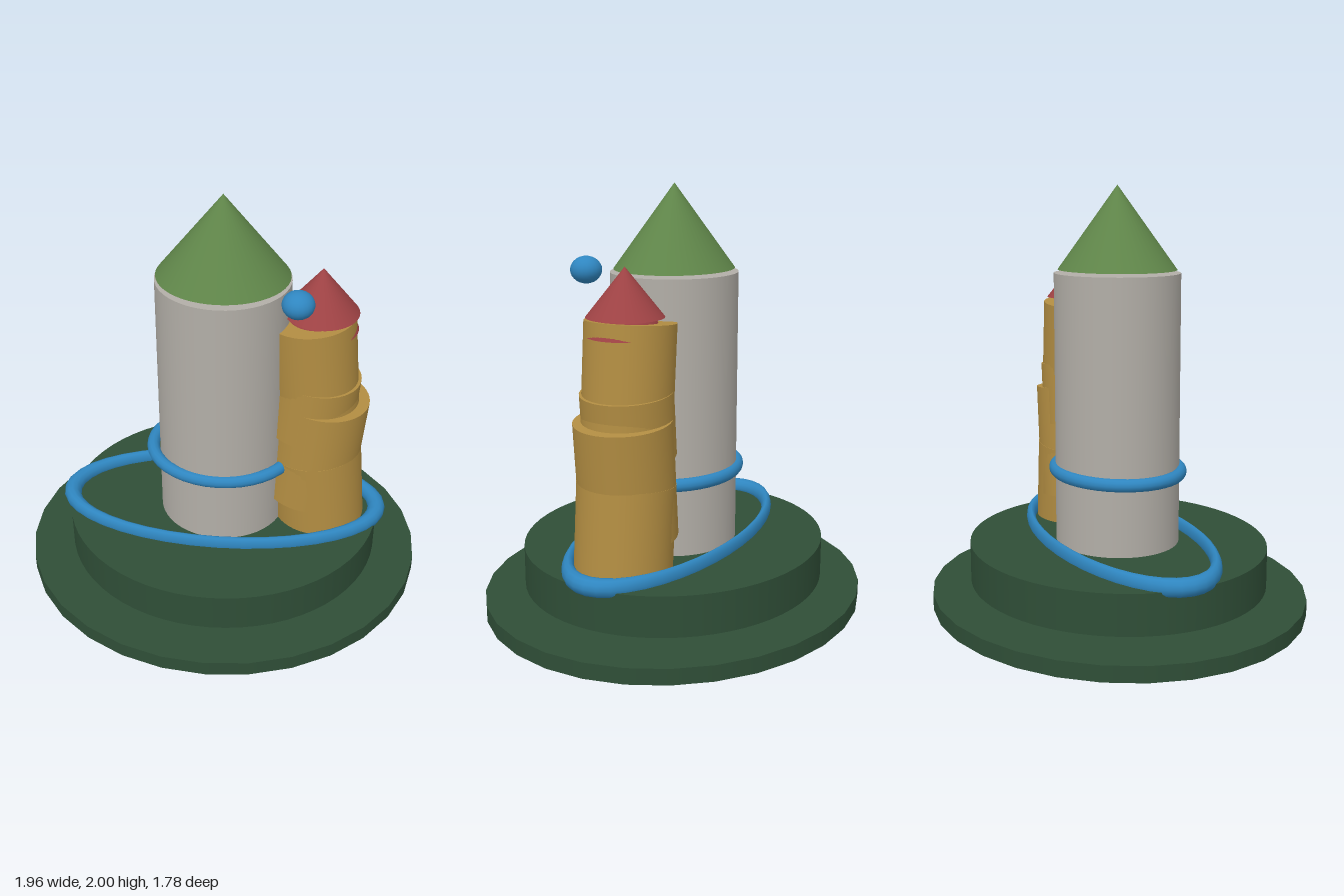
import * as THREE from 'three';

const mat = (name, color) => {
  const m = new THREE.MeshStandardMaterial({ color });
  m.name = name;
  return m;
};

export function createModel() {
  const group = new THREE.Group();
  const darkGreen = mat('dark green', 0x2f4e37);
  const leafGreen = mat('leaf green', 0x5f8549);
  const stone = mat('stone grey', 0xb2aea7);
  const ochre = mat('ochre', 0xb28d42);
  const red = mat('brick red', 0x9e4244);
  const blue = mat('blue', 0x2f86c0);

  const add = (name, geometry, material, x = 0, y = 0, z = 0) => {
    const mesh = new THREE.Mesh(geometry, material);
    mesh.name = name;
    mesh.position.set(x, y, z);
    group.add(mesh);
    return mesh;
  };

  // Upright drum or cone with an elliptical footprint, from y0 to y1
  const drum = (name, material, rx, rz, y0, y1, { top = 1, sides = 48, x = 0 } = {}) => {
    const g = new THREE.CylinderGeometry(top, 1, y1 - y0, sides).scale(rx, 1, rz);
    return add(name, g, material, x, (y0 + y1) / 2);
  };

  // Flat-lying elliptical hoop
  const hoop = (name, radius, tube, squash, y) => {
    const g = new THREE.TorusGeometry(radius, tube, 12, 40).rotateX(Math.PI / 2).scale(1, 1, squash);
    return add(name, g, blue, 0, y);
  };

  // Stepped base
  drum('basePlate', darkGreen, 0.983, 0.89, 0, 0.075, { sides: 30 });
  drum('baseDrum', darkGreen, 0.775, 0.706, 0.115, 0.307, { sides: 64 });

  // Main tower and roof
  drum('mainTower', stone, 0.31, 0.295, 0.25, 1.597);
  drum('mainRoof', leafGreen, 0.305, 0.275, 1.612, 2, { top: 0 });

  // Crooked side tower: overlapping cylinders leaning alternately, placed by the centre of the top
  const lean = THREE.MathUtils.degToRad(5);
  const sections = [
    // top x, top y, radius, length, lean direction
    [0.449, 0.70, 0.225, 0.45, 1],
    [0.475, 0.992, 0.223, 0.55, -1],
    [0.441, 1.115, 0.21, 0.3, -1],
    [0.4, 1.422, 0.206, 0.55, 1],
  ];
  sections.forEach(([x, y, r, length, side], i) => {
    const g = new THREE.CylinderGeometry(r, r, length, 48).translate(0, -length / 2, 0);
    add('sideTowerSection' + (i + 1), g, ochre, x, y).rotation.z = side * lean;
  });

  // Side roof: a collar sunk in the tower and a cone above it
  drum('sideRoofCollar', red, 0.174, 0.174, 1.365, 1.438, { top: 0.77, x: 0.445 });
  drum('sideRoof', red, 0.174, 0.174, 1.447, 1.665, { top: 0, x: 0.445 });

  // Hoops and ball
  hoop('largeHoop', 0.777, 0.043, 0.45, 0.32);
  hoop('smallHoop', 0.345, 0.031, 0.855, 0.66);
  add('ball', new THREE.SphereGeometry(0.072, 20, 14).scale(1, 0.86, 1), blue, 0.345, 1.625, 0.262);

  return group;
}
